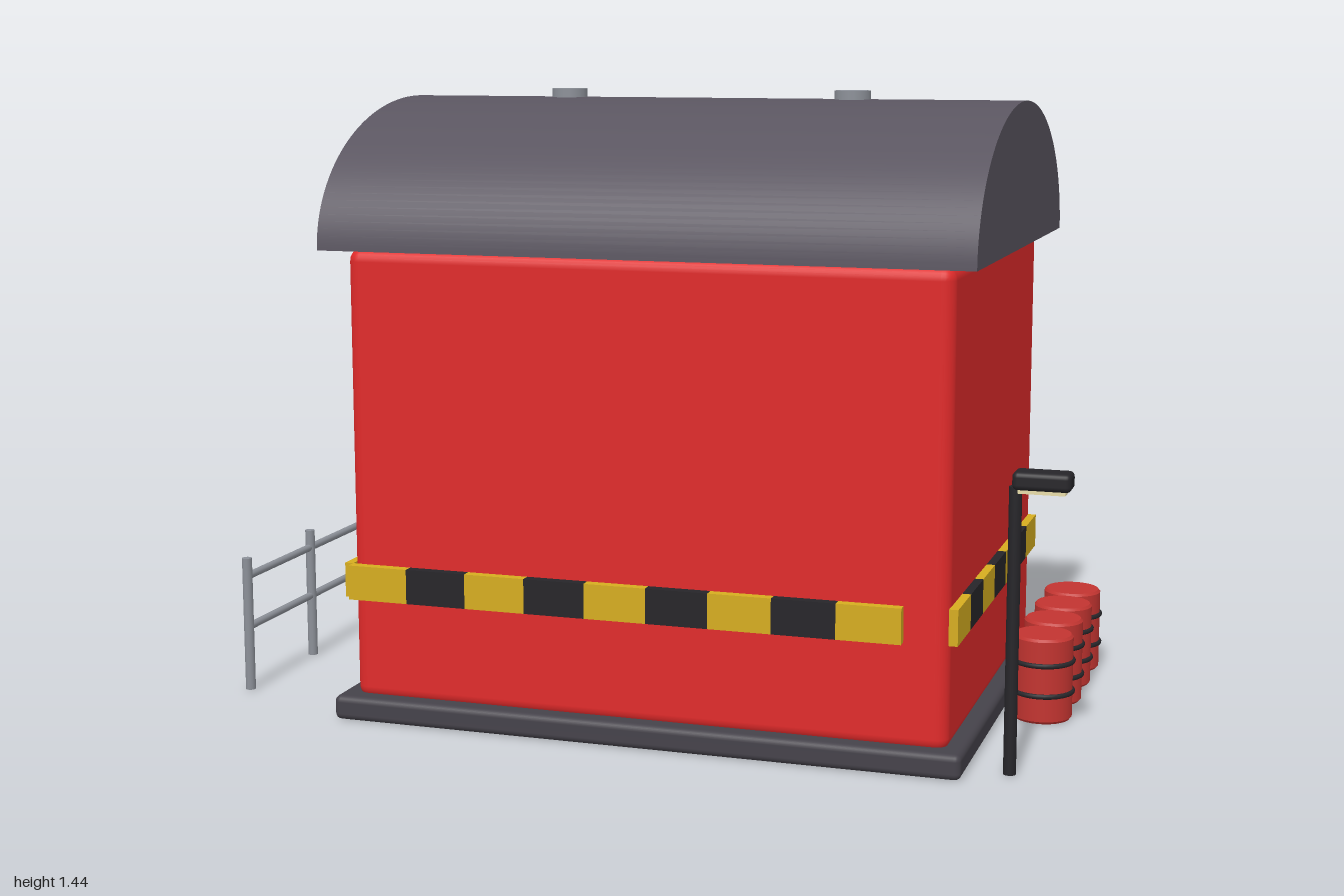
import * as THREE from 'three';
import { RoundedBoxGeometry } from 'three/addons/geometries/RoundedBoxGeometry.js';
import { toCreasedNormals } from 'three/addons/utils/BufferGeometryUtils.js';

const mat = (color) => new THREE.MeshStandardMaterial({ color });
const M = {
  red: mat(0xe02a2a), roof: mat(0x5a5560), base: mat(0x45424a), yellow: mat(0xd6ad20),
  black: mat(0x262529), barrel: mat(0xc23430), steel: mat(0x8c9098), orange: mat(0xe04a08),
  green: mat(0x10a83c), door: mat(0x343036), light: mat(0xe8dcaa),
};

export function createModel() {
  const root = new THREE.Group();
  const group = (name, x = 0, y = 0, z = 0, parent = root) => {
    const g = new THREE.Group();
    g.name = name;
    g.position.set(x, y, z);
    parent.add(g);
    return g;
  };
  const add = (name, geo, material, x, y, z, parent = root) => {
    const m = new THREE.Mesh(geo, material);
    m.name = name;
    m.position.set(x, y, z);
    parent.add(m);
    return m;
  };
  const box = (w, h, d) => new THREE.BoxGeometry(w, h, d);
  const round = (w, h, d, r) => new RoundedBoxGeometry(w, h, d, 3, r);
  const cyl = (r, h, n = 20) => new THREE.CylinderGeometry(r, r, h, n);

  // Building: plinth, walls and barrel roof
  const cx = 0.055, cz = 0.087;
  add('plinth', round(1.47, 0.057, 1.115, 0.015), M.base, cx, 0.0285, cz);
  add('walls', round(1.395, 1.05, 1.034, 0.03), M.red, cx, 0.568, cz);

  const arch = new THREE.Shape();
  arch.moveTo(0.553, 0);
  arch.absellipse(0, 0, 0.553, 0.332, 0, Math.PI, false);
  arch.closePath();
  const roofGeo = new THREE.ExtrudeGeometry(arch, { depth: 1.5, bevelEnabled: false, curveSegments: 32 });
  roofGeo.translate(0, 0, -0.75).rotateY(Math.PI / 2);
  add('roof', toCreasedNormals(roofGeo, 0.6), M.roof, cx, 1.09, cz);
  for (const x of [-0.295, 0.403]) add('roofVent', cyl(0.042, 0.05), M.steel, x, 1.417, 0.085);

  // Hazard band on all four walls
  const seg = 0.144, bandY = 0.325, bandH = 0.08, t = 0.025;
  const band = group('hazardBand');
  for (const z of [0.603 + t / 2, -0.43 - t / 2]) {
    for (let i = 0; i < 9; i++) {
      add('bandBlock', box(seg, bandH, t), i % 2 ? M.black : M.yellow, -0.642 + seg * (i + 0.5), bandY, z, band);
    }
  }
  for (const x of [-0.642 - 0.01, 0.752 + 0.01]) {
    for (let i = 0; i < 7; i++) {
      add('bandBlock', box(0.02, bandH, seg), i % 2 ? M.black : M.yellow, x, bandY, 0.604 - seg * (i + 0.5), band);
    }
  }

  // Rear doors with coloured frames, knobs and lamps
  for (const [x, frame, name] of [[0.598, M.orange, 'orangeDoor'], [-0.483, M.green, 'greenDoor']]) {
    const d = group(name, x, 0.057, -0.431);
    for (const s of [-1, 1]) add('doorJamb', box(0.022, 0.363, 0.03), frame, s * 0.115, 0.1815, -0.013, d);
    add('doorLintel', box(0.252, 0.022, 0.03), frame, 0, 0.354, -0.013, d);
    add('doorLeaf', box(0.21, 0.345, 0.028), M.door, 0, 0.172, -0.012, d);
    add('doorKnob', new THREE.SphereGeometry(0.01, 12, 8), M.steel, 0.078, 0.178, -0.033, d);
    add('doorLamp', round(0.05, 0.028, 0.032, 0.012), M.light, 0, 0.413, -0.02, d);
  }

  // Bollards behind the building
  for (const x of [-0.56, -0.152, 0.255, 0.662]) add('bollard', cyl(0.028, 0.215), M.yellow, x, 0.1075, -0.617);

  // Drums along the left wall
  const drumProfile = [[0, 0], [0.064, 0], [0.069, 0.006], [0.069, 0.194], [0.064, 0.2], [0, 0.2]]
    .map(([r, y]) => new THREE.Vector2(r, y));
  const drumGeo = toCreasedNormals(new THREE.LatheGeometry(drumProfile, 28), 0.6);
  const hoopGeo = new THREE.TorusGeometry(0.069, 0.006, 8, 28).rotateX(Math.PI / 2);
  for (let i = 0; i < 4; i++) {
    const drum = group('drum', 0.88, 0, 0.12 - 0.15 * i);
    add('drumBody', drumGeo, M.barrel, 0, 0, 0, drum);
    for (const y of [0.066, 0.138]) add('drumHoop', hoopGeo, M.black, 0, y, 0, drum);
  }

  // Lamp post
  const lamp = group('lampPost', 0.88, 0, 0.555);
  add('lampPole', cyl(0.014, 0.63), M.black, 0, 0.315, 0, lamp);
  add('lampHead', round(0.125, 0.04, 0.062, 0.012), M.black, 0.058, 0.646, 0, lamp);
  add('lampGlass', box(0.1, 0.01, 0.046), M.light, 0.058, 0.624, 0, lamp);

  // Warning sign
  const sign = group('warningSign', -0.787, 0, -0.523);
  add('signPole', cyl(0.012, 0.4), M.steel, 0, 0.2, 0, sign);
  add('signPlate', round(0.212, 0.18, 0.02, 0.009), M.yellow, 0, 0.47, 0, sign);
  const bar = add('signBar', box(0.042, 0.108, 0.014), M.black, 0, 0.464, 0.016, sign);
  bar.rotation.z = -0.42;

  // Railing on the right side
  const rail = group('railing', -0.986, 0, 0.155);
  for (const z of [-0.325, 0, 0.325]) add('railPost', cyl(0.012, 0.325, 14), M.steel, 0, 0.1625, z, rail);
  const railGeo = cyl(0.009, 0.65, 12).rotateX(Math.PI / 2);
  for (const y of [0.155, 0.28]) add('railBar', railGeo, M.steel, 0, y, 0, rail);

  return root;
}
